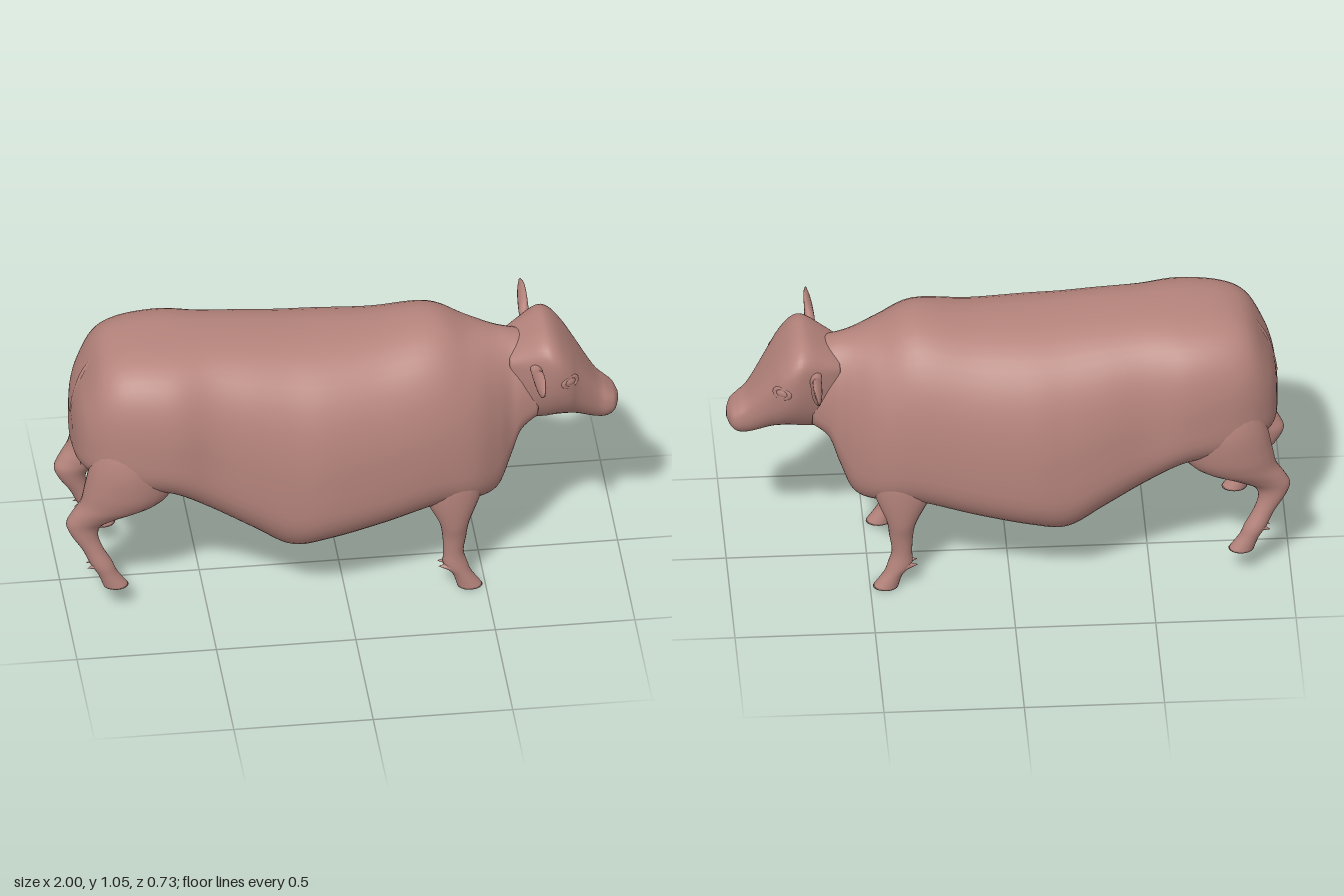
import * as THREE from 'three';

const hide = new THREE.MeshStandardMaterial({ color: 0xb5847c });
hide.name = 'dusty pink hide';

function mesh(name, geometry) {
  const m = new THREE.Mesh(geometry, hide);
  m.name = name;
  return m;
}

// Smooth interpolation through the key cross-sections
function refine(rows, steps) {
  const out = [];
  const at = (i) => rows[Math.min(Math.max(i, 0), rows.length - 1)];
  for (let i = 0; i < rows.length - 1; i++) {
    for (let s = 0; s < steps; s++) {
      const t = s / steps;
      out.push(at(i).map((p1, k) => {
        const p0 = at(i - 1)[k], p2 = at(i + 1)[k], p3 = at(i + 2)[k];
        return p1 + 0.5 * t * (p2 - p0 + t * (2 * p0 - 5 * p1 + 4 * p2 - p3 + t * (3 * (p1 - p2) + p3 - p0)));
      }));
    }
  }
  out.push(at(rows.length - 1));
  return out;
}

// Loft through rows of [t, uMax, uMin, vRadius, vMid]; as functions of t, widest is where
// along u a section is broadest, and roundUp / roundDown set how square its halves are
function loft(name, rows, place, options = {}) {
  const { sides = 24, widest = () => 0.5, roundUp = () => 2, roundDown = () => 2 } = options;
  const rings = refine(rows, 5), n = rings.length, pos = [], idx = [];
  const pow = (c, e) => Math.sign(c) * Math.pow(Math.abs(c), 2 / e);
  const middle = ([t, hi, lo]) => lo + widest(t) * (hi - lo);
  for (const ring of rings) {
    const [t, hi, lo, radius, vMid = 0] = ring, mid = middle(ring);
    for (let j = 0; j < sides; j++) {
      const a = (j / sides) * Math.PI * 2, s = Math.sin(a), e = s >= 0 ? roundUp(t) : roundDown(t);
      const u = mid + pow(s, e) * (s >= 0 ? hi - mid : mid - lo);
      pos.push(...place(t, u, vMid + pow(Math.cos(a), e) * radius));
    }
  }
  for (const r of [rings[0], rings[n - 1]]) pos.push(...place(r[0], middle(r), r[4] ?? 0));
  for (let i = 0; i < n - 1; i++) {
    for (let j = 0; j < sides; j++) {
      const a = i * sides + j, b = i * sides + (j + 1) % sides;
      idx.push(a, b, a + sides, b, b + sides, a + sides);
    }
  }
  for (let j = 0; j < sides; j++) {
    const k = (j + 1) % sides, e = (n - 1) * sides;
    idx.push(n * sides, k, j, n * sides + 1, e + j, e + k);
  }
  // Turn the faces outward by the sign of the enclosed volume
  const p = (i) => new THREE.Vector3().fromArray(pos, i * 3);
  let volume = 0;
  for (let i = 0; i < idx.length; i += 3) volume += p(idx[i]).dot(p(idx[i + 1]).cross(p(idx[i + 2])));
  if (volume < 0) idx.reverse();
  const g = new THREE.BufferGeometry();
  g.setAttribute('position', new THREE.Float32BufferAttribute(pos, 3));
  g.setIndex(idx);
  g.computeVertexNormals();
  return mesh(name, g);
}

// Small spur pointing along dir
function spur(name, x, y, z, radius, length, dir) {
  const m = mesh(name, new THREE.ConeGeometry(radius, length, 10));
  m.position.set(x, y, z);
  m.quaternion.setFromUnitVectors(new THREE.Vector3(0, 1, 0), new THREE.Vector3(...dir).normalize());
  return m;
}

export function createModel() {
  const model = new THREE.Group();
  model.name = 'farmAnimal';
  const alongX = (t, u, v) => [t, u, v];

  // Barrel body running from rump to neck, boxier at the rump
  model.add(loft('body', [
    [-0.962, 0.73, 0.61, 0.06],
    [-0.95, 0.81, 0.58, 0.14],
    [-0.92, 0.89, 0.555, 0.205],
    [-0.86, 0.99, 0.52, 0.26],
    [-0.77, 1.033, 0.485, 0.297],
    [-0.62, 1.045, 0.465, 0.32],
    [-0.48, 1.04, 0.38, 0.308],
    [-0.33, 1.03, 0.29, 0.33],
    [-0.2, 1.02, 0.216, 0.348],
    [-0.07, 1.015, 0.235, 0.356],
    [0.13, 1.017, 0.28, 0.332],
    [0.33, 1.04, 0.33, 0.298],
    [0.46, 0.985, 0.33, 0.262],
    [0.55, 0.955, 0.345, 0.2],
    [0.6, 0.945, 0.45, 0.157],
    [0.64, 0.935, 0.565, 0.143],
    [0.7, 0.92, 0.62, 0.13],
  ], alongX, {
    sides: 56, widest: () => 0.34,
    roundUp: (t) => 2.5 - 0.6 * t, roundDown: (t) => 2.9 + 0.4 * t,
  }));

  // Wedge-shaped head, broad at the crown, with a blunt muzzle
  model.add(loft('head', [
    [0.6, 0.9, 0.64, 0.11],
    [0.65, 0.935, 0.585, 0.136],
    [0.72, 0.976, 0.588, 0.168],
    [0.765, 0.963, 0.598, 0.177],
    [0.81, 0.912, 0.6, 0.164],
    [0.85, 0.852, 0.59, 0.132],
    [0.92, 0.737, 0.564, 0.087],
    [0.96, 0.695, 0.567, 0.077],
    [0.985, 0.671, 0.589, 0.062],
    [1.0, 0.645, 0.617, 0.02],
  ], alongX, { sides: 40, widest: (t) => 1.3 - 0.78 * t, roundUp: () => 2.8, roundDown: () => 2.1 }));

  // Short tail hugging the rump
  model.add(loft('tail', [
    [0.95, -0.85, -0.89, 0.012],
    [0.88, -0.88, -0.93, 0.022],
    [0.8, -0.91, -0.954, 0.02],
    [0.73, -0.94, -0.966, 0.006],
  ], (t, u, v) => [u, t, v]));
  model.add(spur('rumpTip', -0.92, 0.535, 0, 0.025, 0.09, [-0.1, -1, 0]));

  for (const side of [1, -1]) {
    const label = side > 0 ? 'right' : 'left';
    const upright = (t, u, v) => [u, t, v * side];

    // Front leg from shoulder to hoof
    model.add(loft(label + 'FrontLeg', [
      [0.64, 0.48, 0.28, 0.055, 0.18],
      [0.5, 0.5, 0.26, 0.08, 0.185],
      [0.4, 0.487, 0.275, 0.074, 0.197],
      [0.29, 0.443, 0.332, 0.047, 0.215],
      [0.22, 0.432, 0.346, 0.041, 0.206],
      [0.15, 0.423, 0.35, 0.037, 0.203],
      [0.095, 0.437, 0.35, 0.039, 0.203],
      [0.055, 0.452, 0.382, 0.036, 0.205],
      [0, 0.49, 0.4, 0.037, 0.205],
    ], upright));

    // Hind leg with thigh, bent hock and raised hoof
    model.add(loft(label + 'HindLeg', [
      [0.8, -0.66, -0.86, 0.06, 0.2],
      [0.65, -0.61, -0.91, 0.1, 0.198],
      [0.53, -0.61, -0.935, 0.105, 0.19],
      [0.46, -0.66, -0.95, 0.088, 0.187],
      [0.405, -0.78, -0.983, 0.06, 0.182],
      [0.365, -0.862, -0.999, 0.046, 0.178],
      [0.32, -0.885, -0.982, 0.04, 0.181],
      [0.26, -0.868, -0.943, 0.036, 0.188],
      [0.2, -0.835, -0.915, 0.038, 0.194],
      [0.155, -0.816, -0.888, 0.036, 0.195],
      [0.102, -0.778, -0.868, 0.038, 0.195],
    ], upright));

    // Paired dewclaws behind each ankle
    for (const dz of [-0.018, 0.018]) {
      model.add(spur(label + 'FrontDewclaw', 0.352, 0.095, side * 0.203 + dz, 0.017, 0.045, [-1, 0.1, 0]));
      model.add(spur(label + 'HindDewclaw', -0.906, 0.195, side * 0.194 + dz, 0.017, 0.045, [-1, -0.3, 0]));
    }

    // Leaf-shaped ear, gently cupped toward the front
    model.add(loft(label + 'Ear', [
      [0.13, 0.895, 0.85, 0.022],
      [0.18, 0.892, 0.844, 0.02],
      [0.23, 0.916, 0.836, 0.018],
      [0.28, 0.923, 0.847, 0.015],
      [0.325, 0.922, 0.868, 0.01],
      [0.364, 0.91, 0.898, 0.003],
    ], (t, u, v) => [0.69 + v + 6 * (u - 0.88) ** 2, u, t * side]));

    // Sunken eyeball inside a low lid
    const eye = new THREE.Group();
    eye.name = label + 'Eye';
    eye.position.set(0.81, 0.812, side * 0.155);
    eye.rotation.y = side > 0 ? 0.55 : Math.PI - 0.55;
    const ball = mesh('eyeball', new THREE.SphereGeometry(0.02, 16, 12));
    ball.scale.set(1.2, 0.85, 0.5);
    const lid = mesh('eyelid', new THREE.TorusGeometry(0.024, 0.008, 8, 24));
    lid.scale.set(1.2, 0.85, 1);
    eye.add(ball, lid);
    model.add(eye);
  }
  return model;
}
